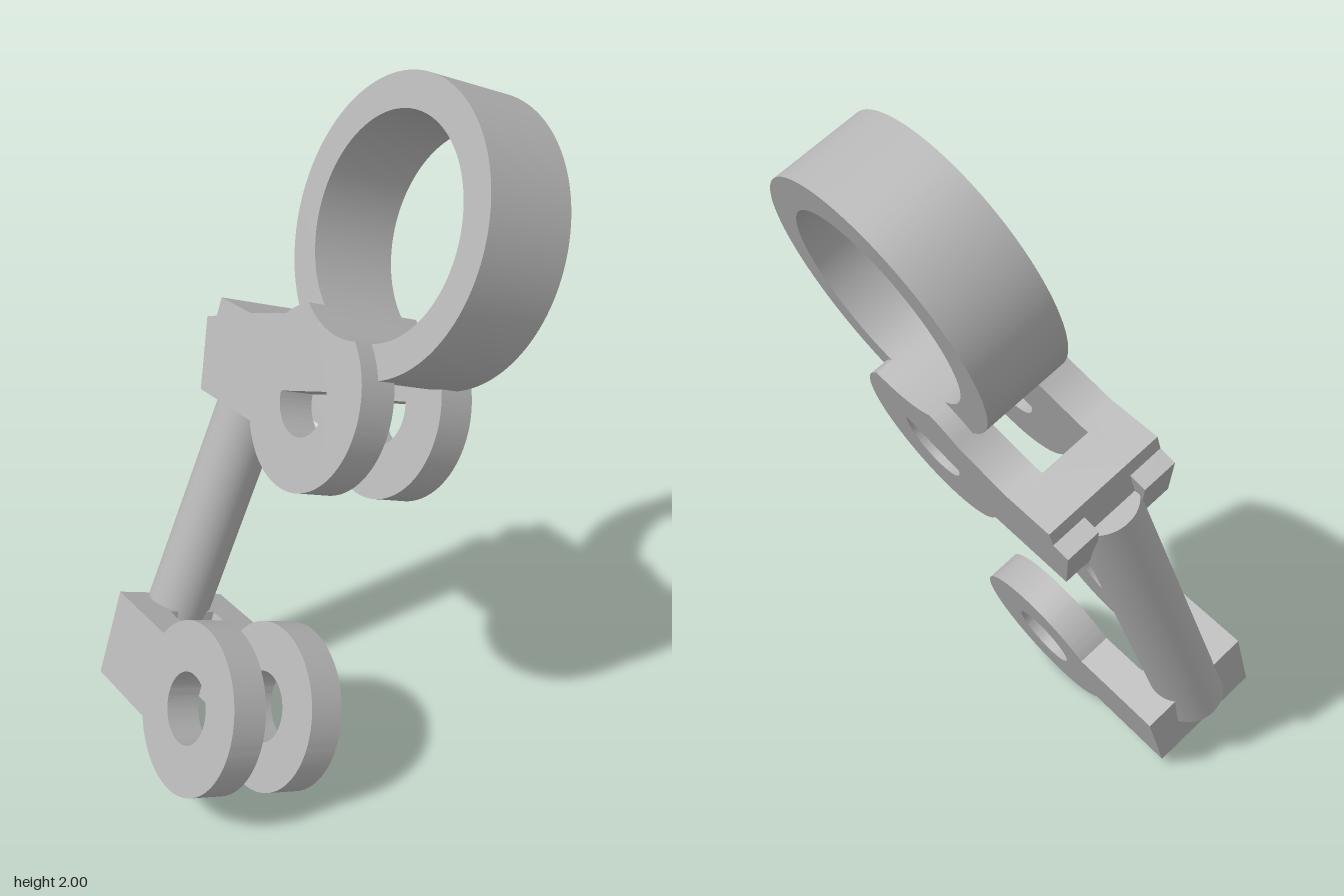
import * as THREE from 'three';
import { toCreasedNormals } from 'three/addons/utils/BufferGeometryUtils.js';

const DISC_R = 0.24, HOLE_R = 0.1, HALF_H = 0.13, HALF_W = 0.175, PLATE_T = 0.1, BACK = -0.485;
const RING_R = 0.375, BORE_R = 0.284;
const UPPER = new THREE.Vector2(0.147, 0.944);      // upper pivot, measured from the lower pivot
const RING_OFFSET = new THREE.Vector2(0.073, 0.465); // ring centre, measured from the upper pivot

export function createModel() {
  const grey = new THREE.MeshStandardMaterial({ color: 0xb4b4b4 });
  grey.name = 'grey';

  // Local frame: x along the arms, y up the link, z across the forks
  const linkage = new THREE.Group();
  linkage.name = 'linkage';
  const across = new THREE.Vector3(-0.475, 0.385, 0.79).normalize();
  const up = new THREE.Vector3(0.058, 0.91, -0.41);
  up.addScaledVector(across, -up.dot(across)).normalize();
  const along = new THREE.Vector3().crossVectors(up, across);
  linkage.quaternion.setFromRotationMatrix(new THREE.Matrix4().makeBasis(along, up, across));
  linkage.position.set(-0.082, 0.298, 0.267);

  const add = (parent, geometry, name, x = 0, y = 0, z = 0) => {
    const mesh = new THREE.Mesh(geometry, grey);
    mesh.name = name;
    mesh.position.set(x, y, z);
    parent.add(mesh);
    return mesh;
  };
  const extrude = (shape, depth) => toCreasedNormals(
    new THREE.ExtrudeGeometry(shape, { depth, bevelEnabled: false, curveSegments: 64 }), 0.5);

  // A fork is two matching plates joined by a block at the back
  const fork = (shape, name, x, y) => {
    const group = new THREE.Group();
    group.name = name;
    group.position.set(x, y, 0);
    const plate = extrude(shape, PLATE_T);
    add(group, plate, 'frontPlate', 0, 0, HALF_W - PLATE_T);
    add(group, plate, 'backPlate', 0, 0, -HALF_W);
    add(group, new THREE.BoxGeometry(0.135, 2 * HALF_H, 2 * (HALF_W - PLATE_T)),
      'bridgeBlock', BACK + 0.0675);
    linkage.add(group);
  };

  const joint = Math.asin(HALF_H / DISC_R); // where the arm meets the disc

  // Lower plate: arm and disc with a round hole
  const lower = new THREE.Shape();
  lower.moveTo(BACK, HALF_H);
  lower.lineTo(BACK, -HALF_H);
  lower.absarc(0, 0, DISC_R, -Math.PI + joint, Math.PI - joint, false);
  lower.closePath();
  lower.holes.push(new THREE.Path().absarc(0, 0, HOLE_R, 0, Math.PI * 2, true));
  fork(lower, 'lowerFork', 0, 0);

  // Upper plate: disc cut by the ring bore, with a slanted bar through arm and hole
  const d = RING_OFFSET.length(), dir = RING_OFFSET.angle();
  const spread = Math.acos((DISC_R ** 2 + d * d - BORE_R ** 2) / (2 * DISC_R * d));
  const boreAngle = (a) => Math.atan2(
    DISC_R * Math.sin(a) - RING_OFFSET.y, DISC_R * Math.cos(a) - RING_OFFSET.x);
  const upper = new THREE.Shape();
  upper.moveTo(BACK, HALF_H);
  upper.lineTo(BACK, 0.078);
  upper.lineTo(-0.532, 0.063);
  upper.lineTo(-0.473, -HALF_H);
  upper.absarc(0, 0, DISC_R, -Math.PI + joint, dir - spread, false);
  upper.absarc(RING_OFFSET.x, RING_OFFSET.y, BORE_R,
    boreAngle(dir - spread), boreAngle(dir + spread), true);
  upper.absarc(0, 0, DISC_R, dir + spread, Math.atan2(0.175, -0.164), false);
  upper.lineTo(-0.325, HALF_H);
  upper.closePath();
  const slot = new THREE.Path();
  slot.absarc(0, 0, HOLE_R, THREE.MathUtils.degToRad(187.6), THREE.MathUtils.degToRad(386.4), false);
  slot.closePath();
  upper.holes.push(slot);
  fork(upper, 'upperFork', UPPER.x, UPPER.y);

  // Ring above the upper fork
  const ring = new THREE.Shape().absarc(0, 0, RING_R, 0, Math.PI * 2, false);
  ring.holes.push(new THREE.Path().absarc(0, 0, BORE_R, 0, Math.PI * 2, true));
  add(linkage, extrude(ring, 0.25), 'ring', UPPER.x + RING_OFFSET.x, UPPER.y + RING_OFFSET.y, -0.125);

  // Round rod joining the two forks
  const rod = add(linkage, new THREE.CylinderGeometry(0.093, 0.093, UPPER.length(), 64),
    'rod', -0.45 + UPPER.x / 2, UPPER.y / 2, 0);
  rod.rotation.z = -Math.atan2(UPPER.x, UPPER.y);

  const model = new THREE.Group();
  model.name = 'model';
  model.add(linkage);
  return model;
}
